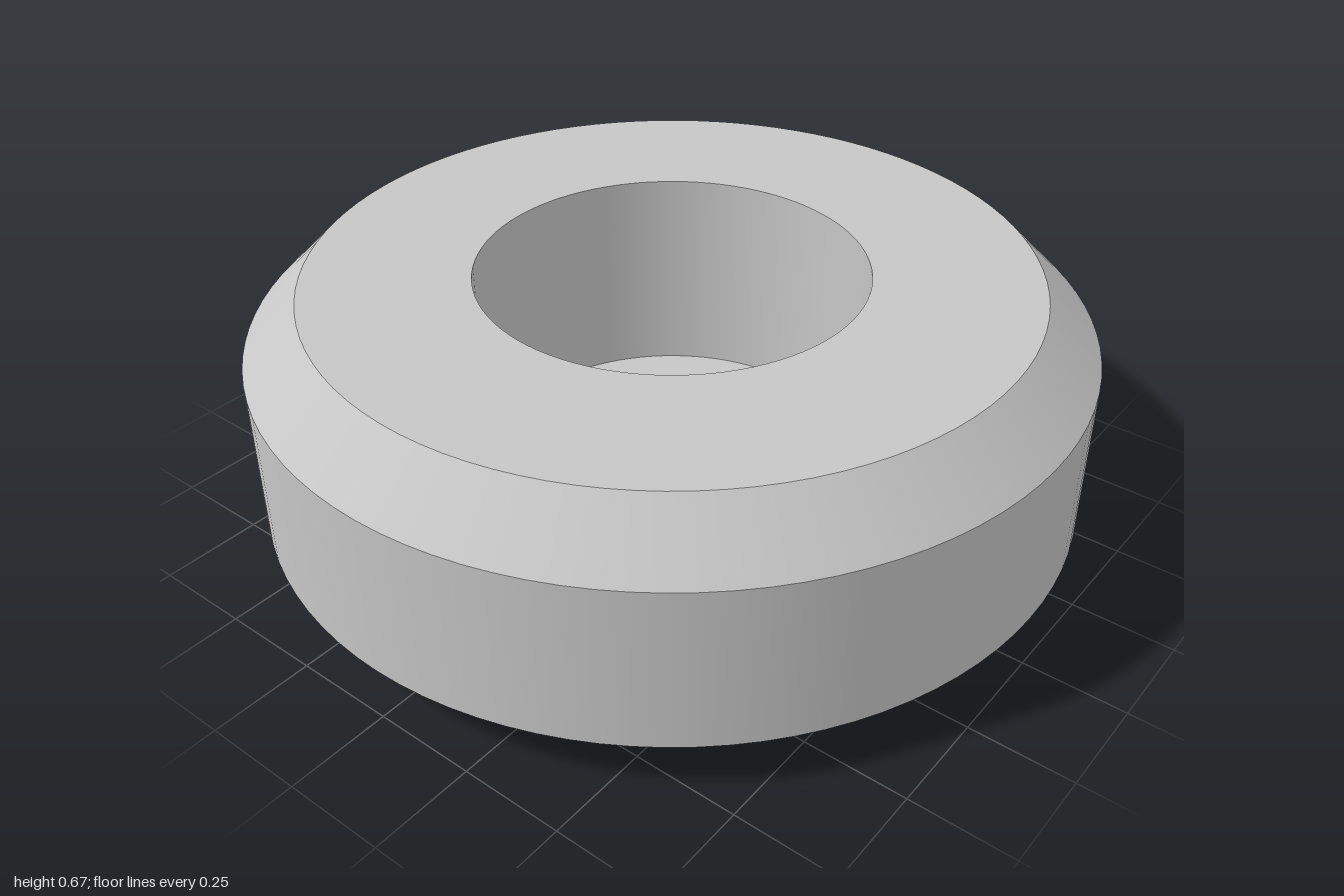
import * as THREE from 'three';
import { mergeGeometries } from 'three/addons/utils/BufferGeometryUtils.js';

const SEGMENTS = 96;

// Revolves each straight run of the profile separately, so its edges stay sharp
function turned(profile) {
  const bands = [];
  for (let i = 0; i < profile.length - 1; i++) {
    const ends = [profile[i], profile[i + 1]].map(([r, y]) => new THREE.Vector2(r, y));
    bands.push(new THREE.LatheGeometry(ends, SEGMENTS));
  }
  return mergeGeometries(bands);
}

export function createModel() {
  const group = new THREE.Group();
  group.name = 'chamferedRing';

  const metal = new THREE.MeshStandardMaterial({ color: 0xc6c6c6 });
  metal.name = 'plain grey';

  const height = 0.667, outer = 1, chamfer = 0.133;
  const hole = 0.267, bore = 0.467, ledge = 0.133;

  const add = (name, profile) => {
    const mesh = new THREE.Mesh(turned(profile), metal);
    mesh.name = name;
    group.add(mesh);
  };

  // Underside, chamfers, rim and top face
  add('outerBody', [
    [hole, 0],
    [outer - chamfer, 0],
    [outer, chamfer],
    [outer, height - chamfer],
    [outer - chamfer, height],
    [bore, height],
  ]);

  // Deep wide recess from the top, down to its floor
  add('counterbore', [[bore, height], [bore, ledge], [hole, ledge]]);

  // Narrow hole through the floor
  add('throughHole', [[hole, ledge], [hole, 0]]);

  return group;
}
